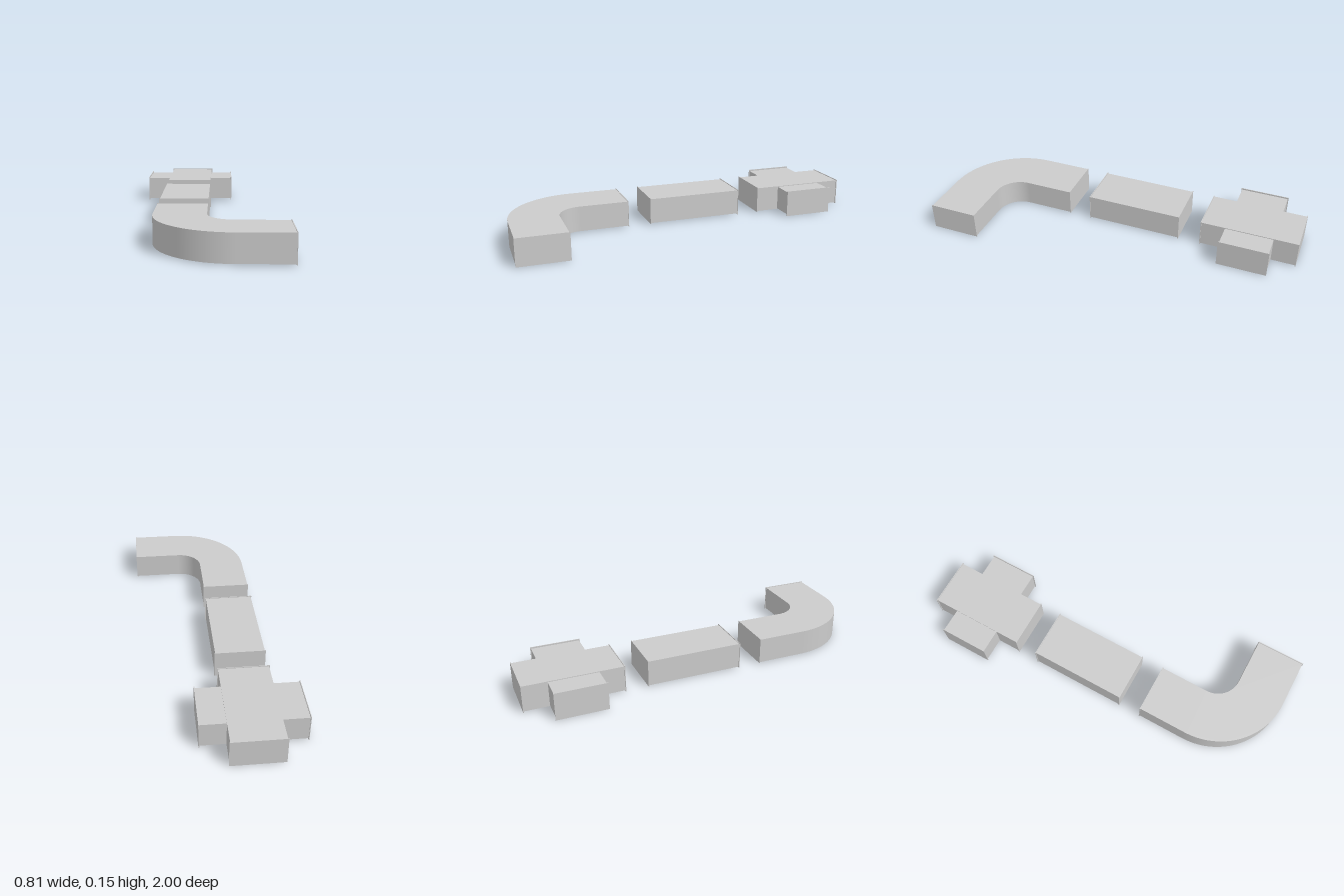
import * as THREE from 'three';

const H0 = 0.008, H1 = 0.149; // underside and top of the duct bodies
const CX = -0.134, W = 0.266; // duct centre line and width

const material = new THREE.MeshStandardMaterial({ color: 0xcccccc });

// Box given by its limits on each axis
function box(name, x0, x1, y0, y1, z0, z1) {
  const mesh = new THREE.Mesh(new THREE.BoxGeometry(x1 - x0, y1 - y0, z1 - z0), material);
  mesh.position.set((x0 + x1) / 2, (y0 + y1) / 2, (z0 + z1) / 2);
  mesh.name = name;
  return mesh;
}

// Thin end plate, a little larger than the duct it closes
function plate(axis, x, z, y0 = 0.003, y1 = 0.153, width = 0.275) {
  const t = 0.002, h = width / 2;
  return axis === 'z'
    ? box('endPlate', x - h, x + h, y0, y1, z - t, z + t)
    : box('endPlate', x - t, x + t, y0, y1, z - h, z + h);
}

function section(name, ...parts) {
  const group = new THREE.Group();
  group.name = name;
  group.add(...parts);
  return group;
}

// Quarter-turn duct with straight ends, drawn in plan and extruded upwards
function bendBody() {
  const cx = 0.133, cz = 0.597, outer = 0.4, inner = 0.134;
  const endX = 0.398, endZ = 0.328;
  const s = new THREE.Shape();
  s.moveTo(cx - outer, endZ);
  s.lineTo(cx - outer, cz);
  s.absarc(cx, cz, outer, Math.PI, Math.PI / 2, true);
  s.lineTo(endX, cz + outer);
  s.lineTo(endX, cz + inner);
  s.lineTo(cx, cz + inner);
  s.absarc(cx, cz, inner, Math.PI / 2, Math.PI, false);
  s.lineTo(cx - inner, endZ);
  s.closePath();
  const extruded = new THREE.ExtrudeGeometry(s, { depth: H1 - H0, bevelEnabled: false, curveSegments: 24 });
  extruded.rotateX(Math.PI / 2); // plan y becomes z
  extruded.translate(0, H1, 0);
  // Smooth the curved walls: average normals only across gentle edges
  const pos = extruded.attributes.position, nor = extruded.attributes.normal;
  const v = new THREE.Vector3(), n = new THREE.Vector3();
  for (let i = 0; i < pos.count; i++) {
    v.fromBufferAttribute(pos, i);
    n.fromBufferAttribute(nor, i);
    if (Math.abs(n.y) > 0.5 || v.x > cx + 0.001 || v.z < cz - 0.001) continue;
    const dx = v.x - cx, dz = v.z - cz, r = Math.hypot(dx, dz);
    const sign = r > 0.25 ? 1 : -1;
    nor.setXYZ(i, sign * dx / r, 0, sign * dz / r);
  }
  const mesh = new THREE.Mesh(extruded, material);
  mesh.name = 'bendBody';
  return mesh;
}

export function createModel() {
  const model = new THREE.Group();
  model.name = 'ductSet';
  const x0 = CX - W / 2, x1 = CX + W / 2;

  // Four-way crossing
  const cz = -0.731;
  model.add(section('crossDuct',
    box('mainDuct', x0, x1, H0, H1, -0.998, -0.464),
    box('leftArm', x1, 0.132, 0.012, 0.145, cz - W / 2, cz + W / 2),
    box('rightArm', -0.402, x0, 0.012, 0.145, cz - W / 2, cz + W / 2),
    plate('z', CX, -0.998), plate('z', CX, -0.464),
    plate('x', 0.132, cz), plate('x', -0.402, cz)));

  // Straight run
  model.add(section('straightDuct',
    box('straightBody', x0, x1, H0, H1, -0.336, 0.198),
    plate('z', CX, -0.336), plate('z', CX, 0.198)));

  // Corner bend
  model.add(section('bendDuct',
    bendBody(),
    plate('z', CX, 0.328, 0.004, 0.152, 0.272),
    plate('x', 0.399, 0.864, 0.004, 0.152, 0.272)));

  return model;
}
